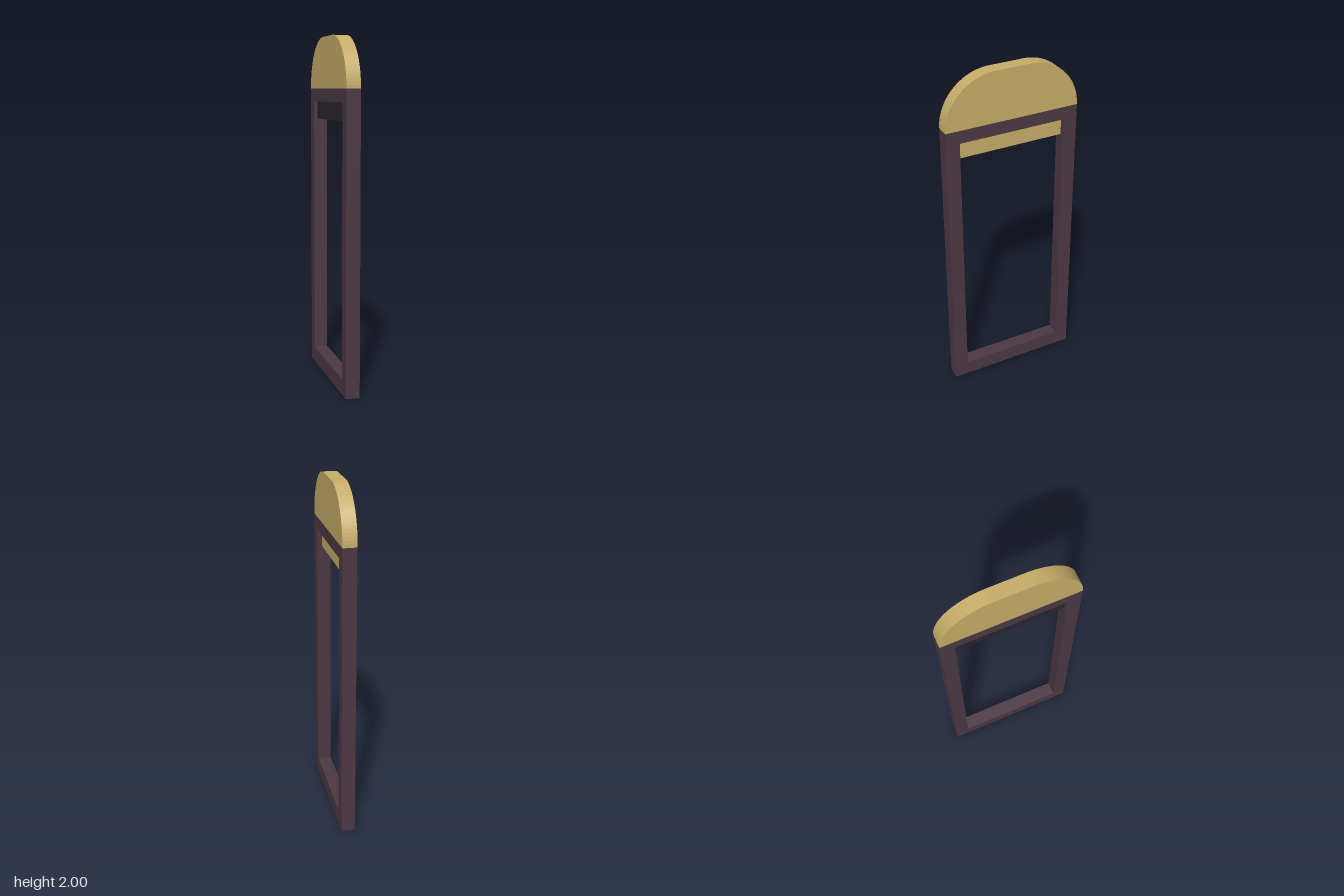
import * as THREE from 'three';

const DEPTH = 0.08, HALF = 0.395, SPRING = 1.705, TOP = 2;

const paint = (color) => new THREE.MeshStandardMaterial({ color, flatShading: true });

// Extrudes a (z, y) outline across the thickness of the door, centred on x = 0
function slab(name, shape, material) {
  const geo = new THREE.ExtrudeGeometry(shape, { depth: DEPTH, bevelEnabled: false, curveSegments: 12 });
  geo.translate(0, 0, -DEPTH / 2).rotateY(-Math.PI / 2);
  const mesh = new THREE.Mesh(geo, material);
  mesh.name = name;
  return mesh;
}

// Box spanning x0..x1 and y0..y1 across the opening
function panel(name, x0, x1, y0, y1, width, material) {
  const mesh = new THREE.Mesh(new THREE.BoxGeometry(x1 - x0, y1 - y0, width), material);
  mesh.position.set((x0 + x1) / 2, (y0 + y1) / 2, 0);
  mesh.name = name;
  return mesh;
}

function rectangle(target, half, y0, y1) {
  target.moveTo(-half, y0);
  target.lineTo(half, y0);
  target.lineTo(half, y1);
  target.lineTo(-half, y1);
  target.closePath();
  return target;
}

export function createModel() {
  const group = new THREE.Group();
  group.name = 'archedDoorFrame';
  const wood = paint(0x4b3843), gold = paint(0xc6ac68), dark = paint(0x2a262b);

  // Rectangular frame with its opening
  const inner = 0.315, sill = 0.09, lintel = 1.63;
  const frame = rectangle(new THREE.Shape(), HALF, 0, SPRING);
  frame.holes.push(rectangle(new THREE.Path(), inner, sill, lintel));
  group.add(slab('frame', frame, wood));

  // Rounded cap: two quarter circles joined by a flat top
  const r = TOP - SPRING, c = HALF - r;
  const cap = new THREE.Shape();
  cap.moveTo(-HALF, SPRING);
  cap.lineTo(HALF, SPRING);
  cap.absarc(c, SPRING, r, 0, Math.PI / 2, false);
  cap.absarc(-c, SPRING, r, Math.PI / 2, Math.PI, false);
  group.add(slab('archedCap', cap, gold));

  // Recessed sign strip under the lintel, with a dark backing
  group.add(panel('signStrip', -0.018, 0.01, 1.525, lintel, inner * 2, gold));
  group.add(panel('signBacking', -0.02, -0.018, 1.525, lintel, inner * 2, dark));

  return group;
}
